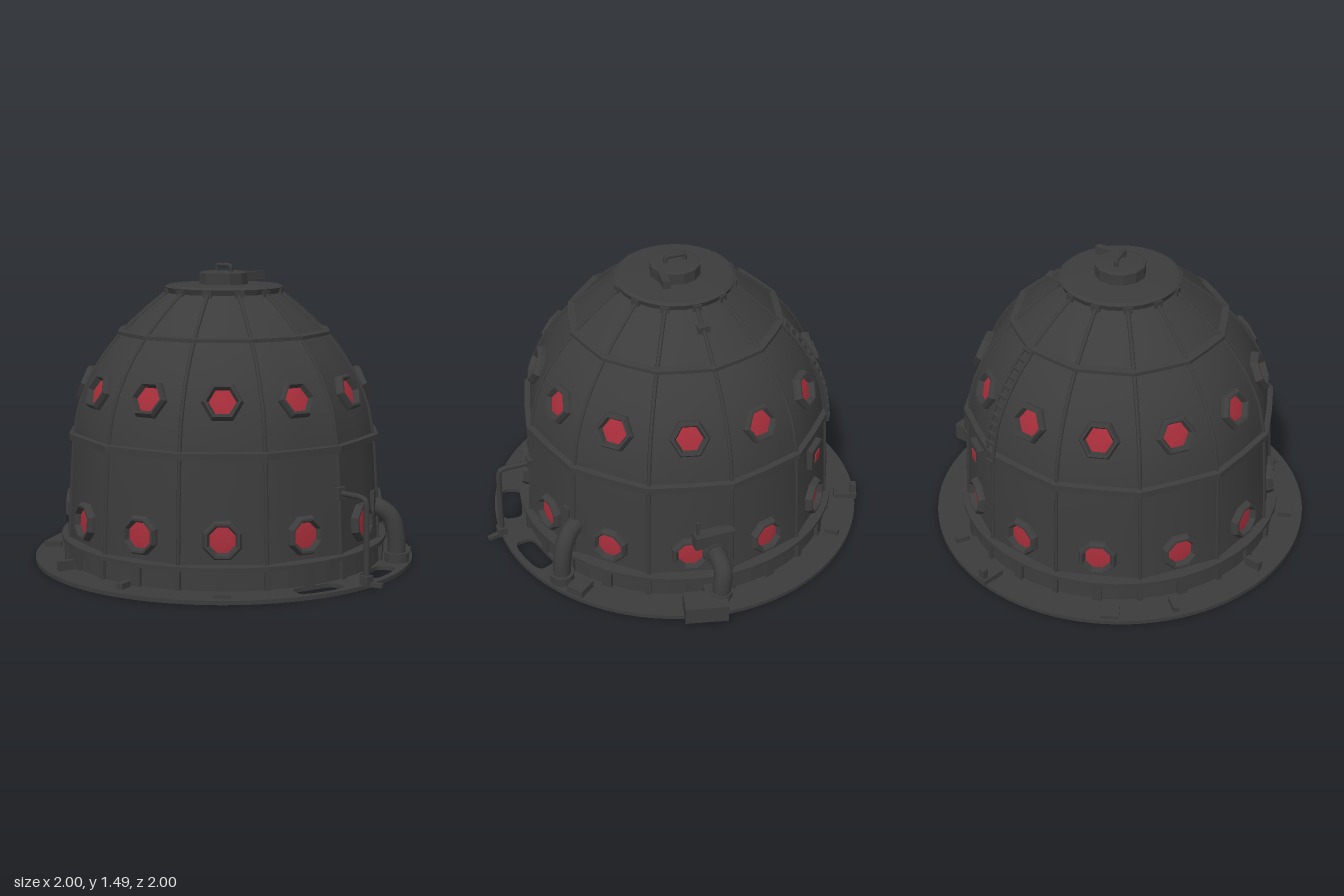
import * as THREE from 'three';

const iron = new THREE.MeshStandardMaterial({ color: 0x3c3c3c });
iron.name = 'dark iron';
const red = new THREE.MeshStandardMaterial({ color: 0xa62e3a });
red.name = 'red glass';

const V = (x, y, z) => new THREE.Vector3(x, y, z);
const rad = THREE.MathUtils.degToRad;

// Facet a geometry so every face has its own normal
function flat(geo) {
  const g = geo.index ? geo.toNonIndexed() : geo;
  g.computeVertexNormals();
  return g;
}
function add(parent, name, geo, mat = iron) {
  const m = new THREE.Mesh(geo, mat);
  m.name = name;
  parent.add(m);
  return m;
}
const turned = (points, sides) => new THREE.LatheGeometry(points.map(p => new THREE.Vector2(p[0], p[1])), sides);
const lathe = (points, sides) => flat(turned(points, sides));

// Twelve gently bulged panels: the middle of each panel sits a little inside its corners
function panelled(points) {
  const geo = turned(points, 24);
  const pos = geo.attributes.position;
  for (let i = 0; i < pos.count; i++) {
    const column = Math.floor(i / points.length);
    if (column % 2) pos.setXYZ(i, pos.getX(i) * 0.973, pos.getY(i), pos.getZ(i) * 0.973);
  }
  geo.computeVertexNormals();
  return geo;
}
// Rectangular hoop profile around the dome axis
const hoop = (inner, outer, y0, y1) => [[inner, y0], [outer, y0 + 0.006], [outer, y1 - 0.006], [inner, y1]];

function box(parent, name, w, h, d, x, y, z, ry = 0) {
  const m = add(parent, name, new THREE.BoxGeometry(w, h, d));
  m.position.set(x, y, z);
  m.rotation.y = ry;
  return m;
}
// Box at an angle measured from the front (+z) towards +x
function polarBox(parent, name, deg, r, y, w, h, d) {
  const a = rad(deg);
  return box(parent, name, w, h, d, Math.sin(a) * r, y, Math.cos(a) * r, a);
}
function pipe(parent, name, pts, radius, sides = 12, tension = 0.5) {
  const curve = new THREE.CatmullRomCurve3(pts, false, 'catmullrom', tension);
  return add(parent, name, new THREE.TubeGeometry(curve, 28, radius, sides));
}
// Round collar whose axis follows a direction
function collar(parent, name, at, dir, radius, length) {
  const m = add(parent, name, flat(new THREE.CylinderGeometry(radius, radius, length, 12)));
  m.position.copy(at);
  m.quaternion.setFromUnitVectors(V(0, 1, 0), dir.clone().normalize());
}

// Dome profile: radius at the corners, height
const PROFILE = [[0.795, 0.13], [0.782, 0.4], [0.768, 0.62], [0.76, 0.68], [0.738, 0.8],
  [0.696, 0.91], [0.647, 1.0], [0.59, 1.08], [0.525, 1.155], [0.41, 1.26], [0.285, 1.36]];

// Hooded frame around a pane that sits low inside it
function makeWindow(size, sides) {
  const g = new THREE.Group();
  g.name = 'window';
  const frame = lathe([[1.1, -0.4], [1.06, 0.14], [0.95, 0.35], [0.83, 0.35], [0.69, 0.03]]
    .map(([r, h]) => [r * size, h * size]), sides);
  const glass = lathe([[0.76, 0.045], [0.4, 0.075], [0, 0.09]]
    .map(([r, h]) => [r * size, h * size]), sides);
  for (const [name, geo, mat] of [['windowFrame', frame, iron], ['windowGlass', glass, red]]) {
    geo.rotateY(Math.PI / sides);
    geo.rotateX(Math.PI / 2);
    add(g, name, geo, mat);
  }
  return g;
}

function buildBase(g) {
  // Round ground plate with two curved, round-ended slots at the front
  const plate = new THREE.Shape().absarc(0, 0, 0.96, 0, Math.PI * 2, false);
  const soft = v => Math.sign(v) * Math.sqrt(Math.abs(v));
  for (const side of [-1, 1]) {
    const pts = [];
    for (let i = 0; i < 32; i++) {
      const t = i / 32 * Math.PI * 2;
      const a = rad(-90 + side * 14.3 + 8 * soft(Math.cos(t)));
      const r = 0.873 + 0.055 * soft(Math.sin(t));
      pts.push(new THREE.Vector2(Math.cos(a) * r, Math.sin(a) * r));
    }
    plate.holes.push(new THREE.Path(pts));
  }
  const geo = new THREE.ExtrudeGeometry(plate, { depth: 0.02, bevelEnabled: false, curveSegments: 48 });
  geo.rotateX(-Math.PI / 2);
  add(g, 'groundPlate', geo).position.y = 0.007;

  // Foot ring, its lip and the clamps around it
  add(g, 'footRing', lathe([[0.805, 0.02], [0.8, 0.12], [0.7, 0.14]], 48));
  add(g, 'footLip', lathe(hoop(0.75, 0.826, 0.115, 0.148), 48));
  for (let i = 0; i < 24; i++) {
    polarBox(g, 'footClamp', i * 15, 0.805, 0.07, i % 2 ? 0.05 : 0.03, 0.1, 0.03);
  }

  // Loose fittings on the plate
  const fittings = [[158, 0.91, 0.06, 0.03, 0.12], [158, 0.95, 0.035, 0.08, 0.03],
    [200, 0.9, 0.09, 0.02, 0.09], [220, 0.89, 0.03, 0.03, 0.09], [137, 0.88, 0.03, 0.03, 0.07],
    [253, 0.87, 0.03, 0.05, 0.08], [283, 0.87, 0.03, 0.03, 0.07], [315, 0.88, 0.08, 0.015, 0.07],
    [38, 0.9, 0.09, 0.04, 0.1]];
  for (const [deg, r, w, h, d] of fittings) polarBox(g, 'plateFitting', deg, r, 0.025 + h / 2, w, h, d);
}

function buildDome(g) {
  add(g, 'domeShell', panelled(PROFILE));
  add(g, 'middleBand', flat(panelled(hoop(0.74, 0.79, 0.628, 0.672))));
  add(g, 'upperBand', flat(panelled(hoop(0.5, 0.541, 1.145, 1.174))));

  // Ribs on the twelve corners
  for (let i = 0; i < 12; i++) {
    const rib = pipe(g, 'rib', PROFILE.map(([r, y]) => V(0, y, r)), 0.01, 6);
    rib.rotation.y = rad(i * 30);
  }

  // Two rows of windows, one in every panel
  for (let i = 0; i < 12; i++) {
    const a = rad(15 + i * 30);
    for (const [y, r, tilt, size, sides] of [[0.892, 0.685, 23, 0.092, 6], [0.262, 0.768, 3, 0.092, 8]]) {
      const w = makeWindow(size, sides);
      w.position.set(Math.sin(a) * r, y, Math.cos(a) * r);
      w.rotation.set(-rad(tilt), a, 0, 'YXZ');
      g.add(w);
    }
  }

  // Small square hatch with a pane
  polarBox(g, 'hatchFrame', 135, 0.755, 0.525, 0.13, 0.11, 0.05);
  polarBox(g, 'hatchPane', 135, 0.781, 0.52, 0.052, 0.052, 0.008).material = red;

  // Ladder along a rear rib
  const ladder = new THREE.Group();
  ladder.name = 'ladder';
  ladder.rotation.y = rad(150);
  const path = PROFILE.slice(2, 9).map(([r, y]) => V(0, y, r + 0.02));
  for (const side of [-1, 1]) {
    pipe(ladder, 'ladderRail', path.map(p => V(side * 0.03, p.y, p.z)), 0.008, 6);
  }
  const curve = new THREE.CatmullRomCurve3(path);
  for (let i = 0; i <= 12; i++) {
    const p = curve.getPointAt(i / 12);
    box(ladder, 'ladderRung', 0.06, 0.014, 0.016, p.x, p.y, p.z);
  }
  g.add(ladder);
}

function buildCap(g) {
  // Stepped lid with clips and a lifting handle
  add(g, 'capDisc', lathe([[0.27, 1.335], [0.285, 1.345], [0.297, 1.38], [0.28, 1.39], [0, 1.396]], 32));
  for (let i = 0; i < 12; i++) polarBox(g, 'capClip', i * 30, 0.28, 1.358, 0.045, 0.035, 0.045);
  add(g, 'lid', lathe([[0.125, 1.385], [0.125, 1.45], [0.11, 1.455], [0, 1.458]], 12));
  pipe(g, 'lidHandle', [V(0, 1.45, -0.05), V(0, 1.485, -0.045), V(0, 1.485, 0.045), V(0, 1.45, 0.05)], 0.011, 6, 0.2);
  box(g, 'lidSpout', 0.12, 0.04, 0.035, 0.11, 1.435, 0.1, -0.1);
  polarBox(g, 'domeBracket', 90, 0.365, 1.28, 0.06, 0.05, 0.05);
}

function buildPipes(g) {
  // Front elbow pipe running down into the plate
  const front = [V(0.36, 0.3, 0.61), V(0.395, 0.3, 0.685), V(0.435, 0.25, 0.74), V(0.45, 0.15, 0.765), V(0.45, 0.02, 0.77)];
  pipe(g, 'frontPipe', front, 0.045);
  collar(g, 'frontPipeCollar', V(0.375, 0.305, 0.65), V(0.5, 0, 0.866), 0.068, 0.05);
  collar(g, 'frontPipeFoot', V(0.45, 0.05, 0.77), V(0, 1, 0), 0.062, 0.05);
  box(g, 'frontPipeBracket', 0.04, 0.12, 0.04, 0.34, 0.33, 0.69, 0.5);

  // Side elbow pipe into a pump box
  const side = [V(0.76, 0.285, 0.095), V(0.85, 0.287, 0.095), V(0.91, 0.25, 0.095), V(0.925, 0.18, 0.105), V(0.925, 0.08, 0.115)];
  pipe(g, 'sidePipe', side, 0.045);
  collar(g, 'sidePipeCollar', V(0.805, 0.285, 0.095), V(1, 0, 0), 0.062, 0.035);
  collar(g, 'sidePipeFoot', V(0.925, 0.13, 0.11), V(0, 1, 0), 0.055, 0.03);
  box(g, 'pumpBox', 0.125, 0.09, 0.21, 0.953, 0.092, 0.2, -0.25);
  box(g, 'pumpArm', 0.12, 0.06, 0.06, 0.87, 0.065, 0.14, -0.25);

  // Valve above the side pipe
  box(g, 'valveBody', 0.05, 0.06, 0.17, 0.79, 0.36, 0.115);
  box(g, 'valveStem', 0.016, 0.12, 0.016, 0.79, 0.42, 0.18);
  box(g, 'valveLever', 0.06, 0.018, 0.2, 0.795, 0.4, 0.1);

  // Thin upright pipe at the front
  pipe(g, 'thinPipe', [V(0, 0.44, 0.75), V(0, 0.44, 0.9), V(0, 0.43, 0.935), V(0, 0.4, 0.95), V(0, 0.02, 0.955)], 0.014, 8, 0.3);
  box(g, 'thinPipeFoot', 0.045, 0.05, 0.05, 0, 0.045, 0.955);
  box(g, 'thinPipeSpout', 0.025, 0.02, 0.1, 0.01, 0.03, 0.985, 0.3);
  box(g, 'thinPipeClamp', 0.05, 0.06, 0.05, 0, 0.44, 0.775);
}

export function createModel() {
  const model = new THREE.Group();
  model.name = 'model';
  const tank = new THREE.Group();
  tank.name = 'domedTank';
  tank.position.set(-0.04, -0.007, -0.04);
  buildBase(tank);
  buildDome(tank);
  buildCap(tank);
  buildPipes(tank);
  model.add(tank);
  return model;
}
